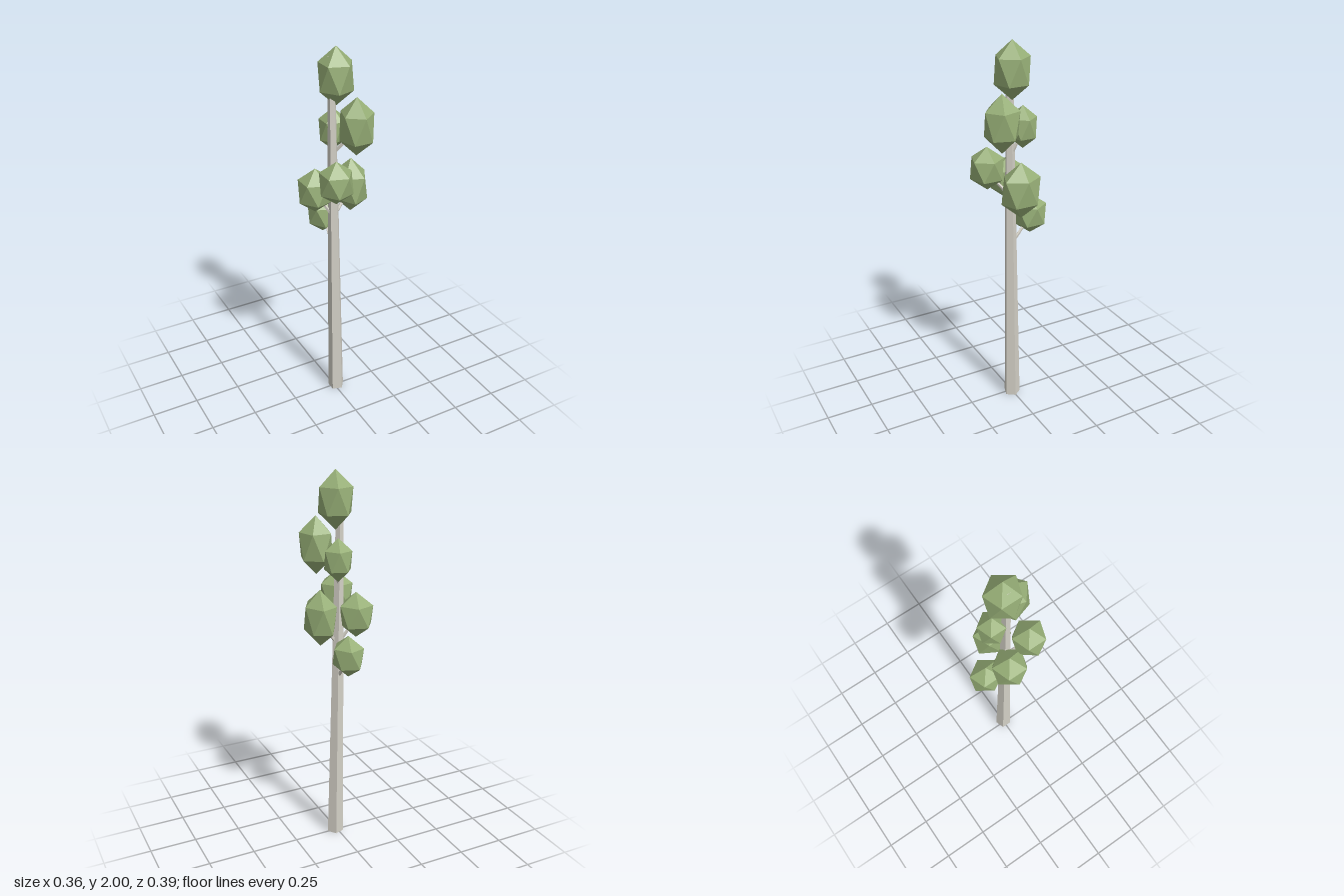
import * as THREE from 'three';

const bark = new THREE.MeshStandardMaterial({ color: 0xd3d0c6, flatShading: true });
const leaf = new THREE.MeshStandardMaterial({ color: 0x96ae76, flatShading: true });

// Leaf clumps: centre, radii, spin about y
const CLUMPS = [
  { c: [0.008, 1.855, 0.0], r: [0.096, 0.146, 0.101], spin: 0, crown: true },
  { c: [0.073, 1.62, 0.09], r: [0.094, 0.149, 0.1], spin: -0.31 },
  { c: [0.02, 1.57, -0.053], r: [0.078, 0.11, 0.079], spin: 0 },
  { c: [-0.05, 1.358, 0.112], r: [0.095, 0.114, 0.097], spin: 0 },
  { c: [0.096, 1.268, -0.003], r: [0.089, 0.148, 0.114], spin: 0 },
  { c: [-0.093, 1.268, -0.03], r: [0.098, 0.12, 0.1], spin: 0 },
  { c: [-0.007, 1.083, -0.114], r: [0.087, 0.11, 0.097], spin: 0 },
];

const TRUNK_TOP = 1.955;

// Centre line of the trunk, which leans slightly
function trunkCentre(y) {
  return new THREE.Vector3(0.011 - 0.029 * (y / TRUNK_TOP), y, 0.003);
}

// Five-sided tapered trunk with one corner towards +x
function makeTrunk() {
  const geo = new THREE.CylinderGeometry(0.018, 0.045, TRUNK_TOP, 5, 1);
  geo.rotateY(Math.PI / 2);
  geo.translate(0, TRUNK_TOP / 2, 0);
  const p = geo.attributes.position;
  for (let i = 0; i < p.count; i++) {
    const c = trunkCentre(p.getY(i));
    p.setX(i, p.getX(i) + c.x);
    p.setZ(i, p.getZ(i) + c.z);
  }
  const mesh = new THREE.Mesh(geo, bark);
  mesh.name = 'trunk';
  return mesh;
}

// Thin tapered branch between two points
function makeBranch(from, to) {
  const dir = to.clone().sub(from);
  const geo = new THREE.CylinderGeometry(0.006, 0.011, dir.length(), 5, 1);
  const mesh = new THREE.Mesh(geo, bark);
  mesh.position.copy(from).addScaledVector(dir, 0.5);
  mesh.quaternion.setFromUnitVectors(new THREE.Vector3(0, 1, 0), dir.normalize());
  mesh.name = 'branch';
  return mesh;
}

// Stretched icosahedron standing on a corner
function makeClump({ c, r, spin }) {
  const geo = new THREE.IcosahedronGeometry(1, 0);
  geo.rotateZ(Math.atan(2 / (1 + Math.sqrt(5))));
  geo.rotateY(Math.PI + spin);
  geo.scale(...r);
  const mesh = new THREE.Mesh(geo, leaf);
  mesh.position.set(...c);
  mesh.name = 'leafClump';
  return mesh;
}

export function createModel() {
  const tree = new THREE.Group();
  tree.name = 'tree';
  tree.add(makeTrunk());
  for (const clump of CLUMPS) {
    tree.add(makeClump(clump));
    if (clump.crown) continue;
    // Branch rises from the trunk into the clump
    const end = new THREE.Vector3(...clump.c);
    const start = trunkCentre(end.y - 0.155);
    end.y -= 0.02;
    tree.add(makeBranch(start, end));
  }
  return tree;
}
